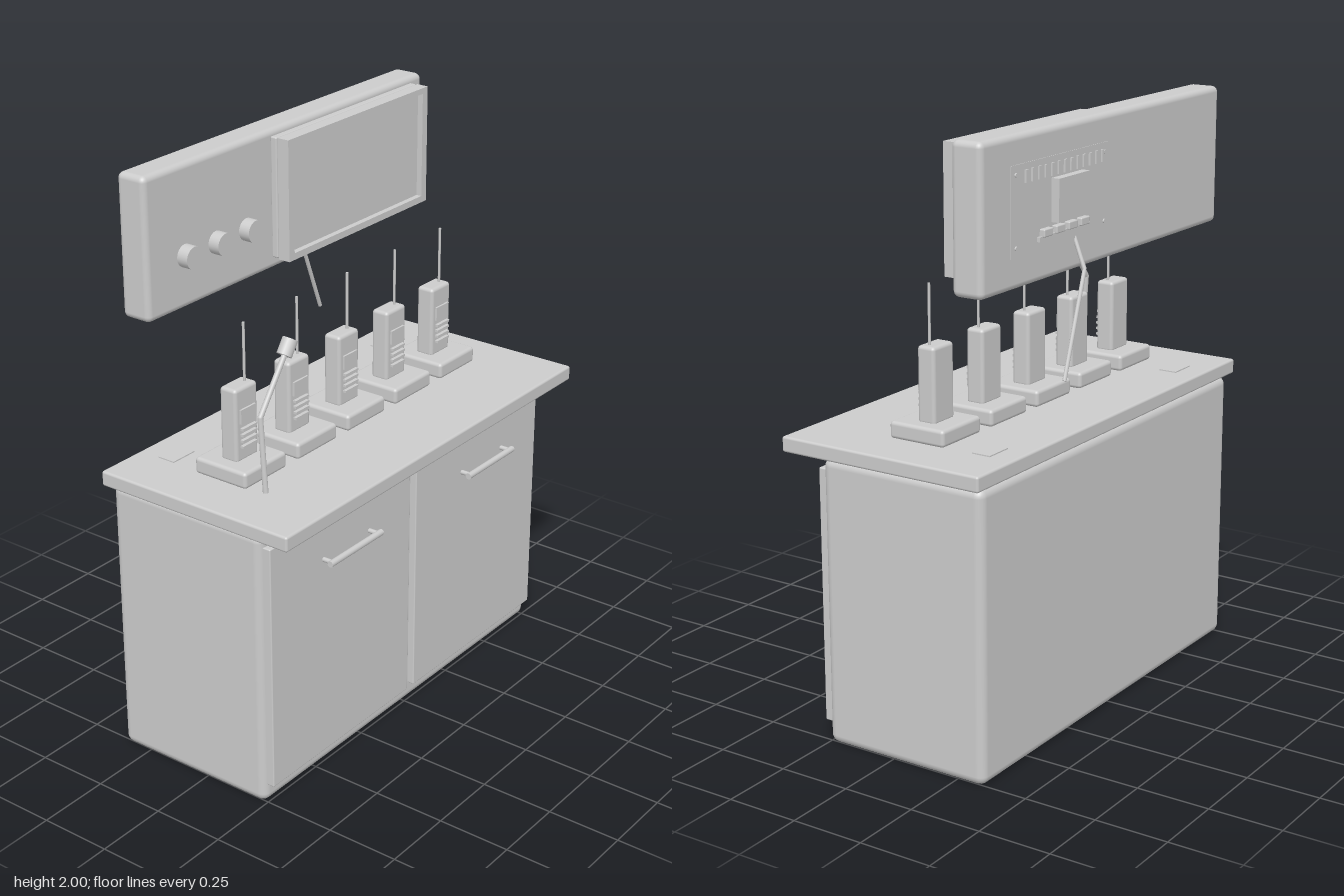
import * as THREE from 'three';
import { RoundedBoxGeometry } from 'three/addons/geometries/RoundedBoxGeometry.js';

const grey = new THREE.MeshStandardMaterial({ color: 0xcccccc });
grey.name = 'light grey';

export function createModel() {
  const model = new THREE.Group();
  model.name = 'radioStation';

  function add(name, geometry, parent = model) {
    const mesh = new THREE.Mesh(geometry, grey);
    mesh.name = name;
    parent.add(mesh);
    return mesh;
  }
  // Box given by its extents; a radius rounds the edges
  function box(name, [x0, x1], [y0, y1], [z0, z1], r = 0, parent = model) {
    const s = [x1 - x0, y1 - y0, z1 - z0];
    const geometry = r ? new RoundedBoxGeometry(...s, 3, r) : new THREE.BoxGeometry(...s);
    const mesh = add(name, geometry, parent);
    mesh.position.set((x0 + x1) / 2, (y0 + y1) / 2, (z0 + z1) / 2);
    return mesh;
  }
  // Cylinder between two points
  function rod(name, a, b, r, parent = model, sides = 12) {
    const p = new THREE.Vector3(...a), q = new THREE.Vector3(...b);
    const dir = q.clone().sub(p);
    const mesh = add(name, new THREE.CylinderGeometry(r, r, dir.length(), sides), parent);
    mesh.position.copy(p).add(q).multiplyScalar(0.5);
    mesh.quaternion.setFromUnitVectors(new THREE.Vector3(0, 1, 0), dir.normalize());
    return mesh;
  }

  // Cabinet and worktop
  box('cabinet', [-0.767, 0.767], [0.003, 0.972], [-0.355, 0.25], 0.03);
  box('worktop', [-0.8, 0.8], [0.975, 1.027], [-0.365, 0.38], 0.008);

  // Doors with bar handles
  for (const s of [-1, 1]) {
    const c = s * 0.384;
    box('door', [c - 0.366, c + 0.366], [0.07, 0.93], [0.24, 0.275], 0.004);
    rod('handleBar', [c - 0.135, 0.797, 0.327], [c + 0.135, 0.797, 0.327], 0.011);
    for (const e of [-0.12, 0.12]) {
      rod('handlePost', [c + e, 0.797, 0.29], [c + e, 0.797, 0.327], 0.008);
    }
    // Flat mounting plate behind the radios
    box('mountPlate', [s * 0.57 - 0.05, s * 0.57 + 0.05], [1.026, 1.031], [-0.285, -0.22]);
  }

  // Five handheld radios in charging cradles
  for (let i = 0; i < 5; i++) {
    const radio = new THREE.Group();
    radio.name = 'handheldRadio';
    radio.position.x = -0.53 + i * 0.2645;
    model.add(radio);
    box('cradle', [-0.103, 0.103], [1.027, 1.083], [-0.12, 0.086], 0.012, radio);
    box('radioBody', [-0.054, 0.054], [1.075, 1.326], [-0.053, 0.012], 0.012, radio);
    box('radioScreen', [-0.036, 0.036], [1.208, 1.256], [0.01, 0.019], 0, radio);
    for (let k = 0; k < 4; k++) {
      const y = 1.125 + k * 0.02;
      box('speakerSlat', [-0.034, 0.034], [y, y + 0.008], [0.011, 0.024], 0, radio);
    }
    rod('antenna', [0.027, 1.31, -0.018], [0.027, 1.522, -0.018], 0.0045, radio, 8);
  }

  // Gooseneck microphone
  const bend = [-0.635, 1.295, 0.152];
  rod('microphoneStem', [-0.64, 1.05, 0.172], bend, 0.009);
  rod('microphoneNeck', bend, [-0.508, 1.465, 0.15], 0.009);
  const joint = add('microphoneElbow', new THREE.SphereGeometry(0.009, 12, 8));
  joint.position.set(...bend);
  rod('microphoneHead', [-0.514, 1.458, 0.15], [-0.483, 1.502, 0.15], 0.025, model, 16);

  // Upper console
  box('console', [-0.715, 0.712], [1.533, 2], [-0.322, -0.213], 0.02);
  for (const x of [-0.551, -0.404, -0.256]) {
    rod('knob', [x, 1.712, -0.203], [x, 1.712, -0.163], 0.037, model, 24);
  }

  // Display: backing, hollow bezel and recessed screen
  box('displayBacking', [-0.119, 0.643], [1.575, 1.98], [-0.213, -0.188], 0.005);
  const rect = (P, x0, x1, y0, y1) => {
    const p = new P();
    p.moveTo(x0, y0);
    p.lineTo(x1, y0);
    p.lineTo(x1, y1);
    p.lineTo(x0, y1);
    p.closePath();
    return p;
  };
  const frame = rect(THREE.Shape, -0.119, 0.643, 1.573, 1.98);
  frame.holes.push(rect(THREE.Path, -0.092, 0.615, 1.596, 1.96));
  add('displayBezel', new THREE.ExtrudeGeometry(frame, { depth: 0.043, bevelEnabled: false }))
    .position.z = -0.183;
  box('displayScreen', [-0.1, 0.625], [1.59, 1.965], [-0.19, -0.16]);

  // Circuit board on the rear of the console
  box('rearBoard', [0.01, 0.56], [1.63, 1.91], [-0.324, -0.318]);
  box('rearModule', [0.175, 0.35], [1.71, 1.845], [-0.358, -0.33]);
  for (let i = 0; i < 13; i++) {
    const x = 0.05 + i * 0.036;
    box('rearPin', [x - 0.006, x + 0.006], [1.85, 1.89], [-0.33, -0.32]);
  }
  box('connectorRail', [0.13, 0.42], [1.66, 1.675], [-0.334, -0.32]);
  for (let i = 0; i < 4; i++) {
    const x = 0.17 + i * 0.07;
    box('connector', [x - 0.025, x + 0.025], [1.672, 1.697], [-0.342, -0.32], 0.004);
  }
  for (const x of [0.035, 0.535]) {
    for (const y of [1.66, 1.88]) rod('boardScrew', [x, y, -0.32], [x, y, -0.329], 0.007);
  }

  // Hanging cable
  const kink = [0.205, 1.54, -0.36];
  rod('cableTop', [0.2, 1.64, -0.318], kink, 0.007, model, 8);
  rod('cableEnd', kink, [0.347, 1.217, -0.378], 0.007, model, 8);

  return model;
}
